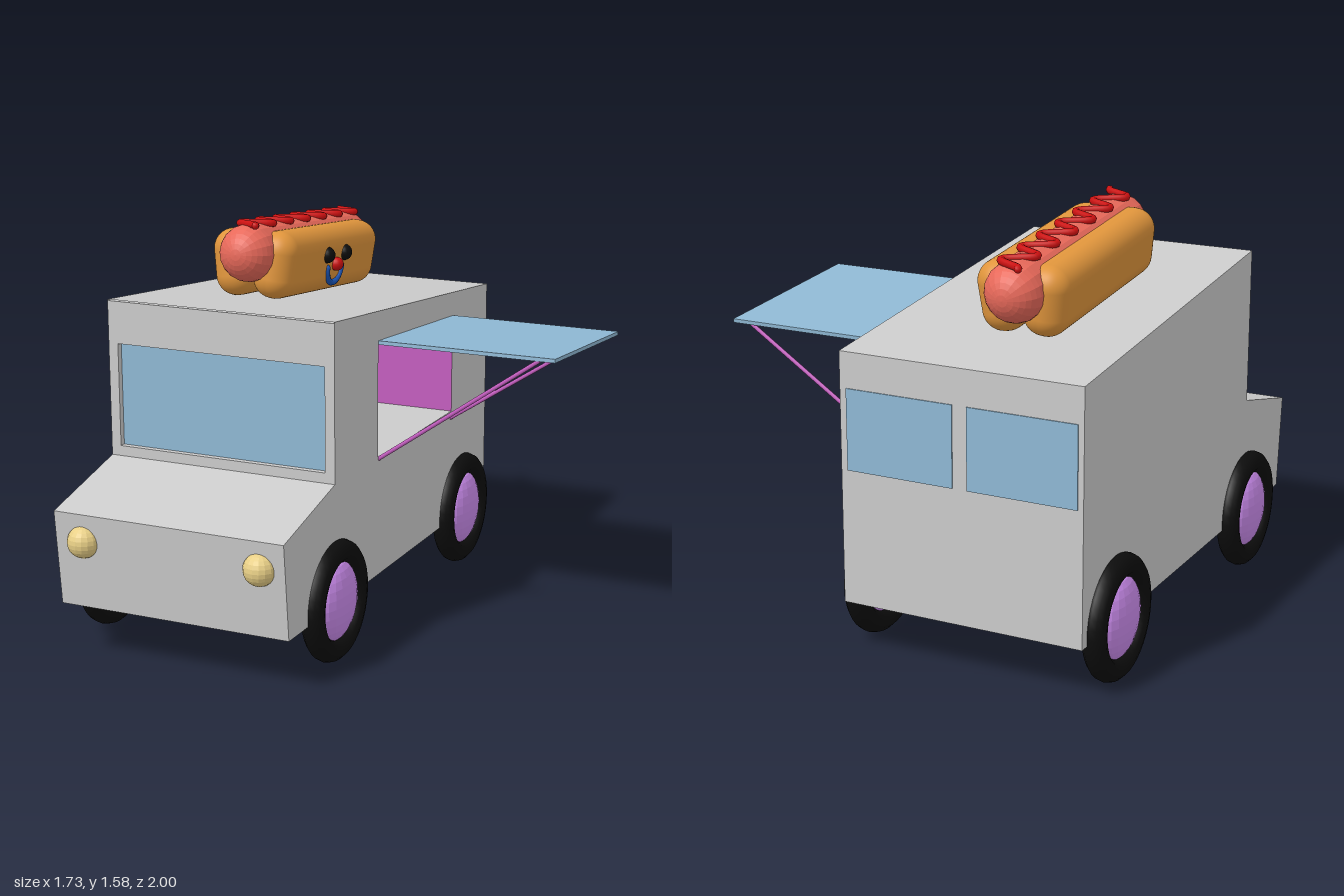
import * as THREE from 'three';
import { RoundedBoxGeometry } from 'three/addons/geometries/RoundedBoxGeometry.js';

const mat = (color, extra = {}) => new THREE.MeshStandardMaterial({ color, ...extra });
const GREY = mat(0xcccccc, { side: THREE.DoubleSide, flatShading: true });
const PURPLE = mat(0xc45ec0, { side: THREE.DoubleSide });
const GLASS = mat(0x8fb8d4, { side: THREE.DoubleSide });
const BLACK = mat(0x0c0c0c);
const HUB = mat(0xcc8cee, { flatShading: true });
const LAMP = mat(0xe8cf86, { flatShading: true });
const BUN = mat(0xe0953c);
const SAUSAGE = mat(0xe8695a, { flatShading: true });
const RED = mat(0xcc1010);
const BLUE = mat(0x1c56b8);

const LEFT = 0.155, RIGHT = -0.8; // side walls in x

function add(parent, name, geometry, material, x = 0, y = 0, z = 0) {
  const mesh = new THREE.Mesh(geometry, material);
  mesh.name = name;
  mesh.position.set(x, y, z);
  parent.add(mesh);
  return mesh;
}

// flat four-cornered panels, corners counter-clockwise from outside
function quads(list) {
  const pos = list.flatMap(([a, b, c, d]) => [a, b, c, a, c, d].flat());
  const g = new THREE.BufferGeometry();
  g.setAttribute('position', new THREE.Float32BufferAttribute(pos, 3));
  g.computeVertexNormals();
  return g;
}

const shapeOf = pts => new THREE.Shape(pts.map(p => new THREE.Vector2(...p)));

function rod(parent, name, a, b, r, material) {
  const from = new THREE.Vector3(...a), to = new THREE.Vector3(...b);
  return add(parent, name, new THREE.TubeGeometry(new THREE.LineCurve3(from, to), 1, r, 8), material);
}

function buildBody(root) {
  const body = new THREE.Group();
  body.name = 'body';
  root.add(body);

  // side profile as (z, y)
  const profile = [[0.92, 0.21], [0.955, 0.585], [0.53, 0.69], [0.53, 1.305], [-1, 1.16], [-1, 0.21]];
  const hatch = [[0.14, 0.69], [0.14, 1.15], [-0.61, 1.095], [-0.61, 0.69]];
  const flip = ([z, y]) => [-z, y];

  // side walls, the left one with the serving hatch cut out
  for (const x of [LEFT, RIGHT]) {
    const shape = shapeOf(profile.map(flip));
    if (x === LEFT) shape.holes.push(shapeOf(hatch.map(flip)));
    add(body, x === LEFT ? 'leftWall' : 'rightWall',
      new THREE.ShapeGeometry(shape).rotateY(Math.PI / 2), GREY, x);
  }

  // nose, bonnet, roof, back and floor follow the profile; the windscreen wall is separate
  const strips = [];
  profile.forEach(([z, y], i) => {
    if (i === 2) return;
    const [z2, y2] = profile[(i + 1) % profile.length];
    strips.push([[RIGHT, y, z], [LEFT, y, z], [LEFT, y2, z2], [RIGHT, y2, z2]]);
  });
  add(body, 'shell', quads(strips), GREY);

  // windscreen wall with recessed glass
  const wall = shapeOf([[RIGHT, 0.69], [LEFT, 0.69], [LEFT, 1.3], [RIGHT, 1.3]]);
  wall.holes.push(shapeOf([[-0.76, 0.73], [-0.76, 1.135], [0.115, 1.135], [0.115, 0.73]]));
  add(body, 'windscreenWall', new THREE.ExtrudeGeometry(wall, { depth: 0.03, bevelEnabled: false }), GREY, 0, 0, 0.5);
  add(body, 'windscreen', new THREE.PlaneGeometry(0.88, 0.41), GLASS, -0.3225, 0.9325, 0.505);

  // back windows
  for (const x of [-0.084, -0.566])
    add(body, 'backWindow', new THREE.BoxGeometry(0.425, 0.305, 0.008), GLASS, x, 0.873, -1);

  // serving room behind the hatch
  const deep = -0.76;
  const near = hatch.map(([z, y]) => [LEFT, y, z]);
  const far = hatch.map(([z, y]) => [deep, y, z]);
  const side = i => [near[i], near[(i + 1) % 4], far[(i + 1) % 4], far[i]];
  add(body, 'servingRoom', quads([side(0), side(1), side(2), far]), PURPLE);
  add(body, 'counter', quads([side(3)]), GREY);

  for (const x of [-0.685, 0.05])
    add(body, 'headlight', new THREE.SphereGeometry(0.063, 16, 12), LAMP, x, 0.475, 0.937);
}

function buildAwning(root) {
  const awning = new THREE.Group();
  awning.name = 'awning';
  root.add(awning);
  // slab sloping with the roof
  const panel = add(awning, 'awningPanel', new THREE.BoxGeometry(0.71, 0.015, 0.762), GLASS, 0.51, 1.118, -0.24);
  panel.rotation.x = -0.072;
  rod(awning, 'frontStrut', [0.15, 0.68, 0.13], [0.8, 1.138, 0.13], 0.008, PURPLE);
  rod(awning, 'backStrut', [0.15, 0.66, -0.605], [0.8, 1.088, -0.605], 0.008, PURPLE);
}

function buildWheels(root) {
  for (const x of [LEFT, -0.81]) for (const z of [0.53, -0.73]) {
    const wheel = new THREE.Group();
    wheel.name = 'wheel';
    wheel.position.set(x, 0.235, z);
    add(wheel, 'tyre', new THREE.TorusGeometry(0.19, 0.045, 12, 40).rotateY(Math.PI / 2), BLACK);
    add(wheel, 'hub', new THREE.SphereGeometry(0.157, 20, 14).scale(0.38, 1, 1), HUB);
    root.add(wheel);
  }
}

function buildHotDog(root) {
  const dog = new THREE.Group();
  dog.name = 'hotDog';
  dog.position.set(-0.39, 1.41, -0.275);
  dog.rotation.x = -0.0945;
  root.add(dog);

  add(dog, 'sausage', new THREE.CapsuleGeometry(0.113, 0.855, 8, 18, 6).rotateX(Math.PI / 2), SAUSAGE);
  for (const s of [1, -1]) {
    const half = add(dog, 'bunHalf', new RoundedBoxGeometry(0.17, 0.265, 0.87, 6, 0.08), BUN, s * 0.088, -0.045, 0);
    half.rotation.z = -s * 0.13;
  }

  // wavy sauce line along the top
  const wave = [];
  for (let i = 0; i <= 104; i++) {
    const t = i / 104, x = -0.052 * Math.cos(t * 13 * Math.PI);
    wave.push(new THREE.Vector3(x, 0.112, -0.505 + t * 0.985));
  }
  const curve = new THREE.CatmullRomCurve3(wave);
  add(dog, 'sauce', new THREE.TubeGeometry(curve, 208, 0.015, 8), RED);
  for (const end of [wave[0], wave[104]])
    add(dog, 'sauceEnd', new THREE.SphereGeometry(0.015, 8, 6), RED, end.x, end.y, end.z);

  // smiling face on the left bun half
  for (const z of [0.08, -0.08])
    add(dog, 'eye', new THREE.SphereGeometry(0.033, 16, 12), BLACK, 0.172, -0.022, z);
  add(dog, 'nose', new THREE.SphereGeometry(0.028, 16, 12), RED, 0.178, -0.063, 0);
  const smile = new THREE.TorusGeometry(0.065, 0.013, 8, 20, Math.PI).rotateZ(Math.PI).rotateY(Math.PI / 2);
  add(dog, 'mouth', smile, BLUE, 0.168, -0.075, 0).rotation.z = -0.13;
  for (const z of [0.065, -0.065])
    add(dog, 'mouthCorner', new THREE.SphereGeometry(0.013, 8, 6), BLUE, 0.168, -0.075, z);
}

export function createModel() {
  const root = new THREE.Group();
  root.name = 'foodTruck';
  buildBody(root);
  buildAwning(root);
  buildWheels(root);
  buildHotDog(root);
  return root;
}
